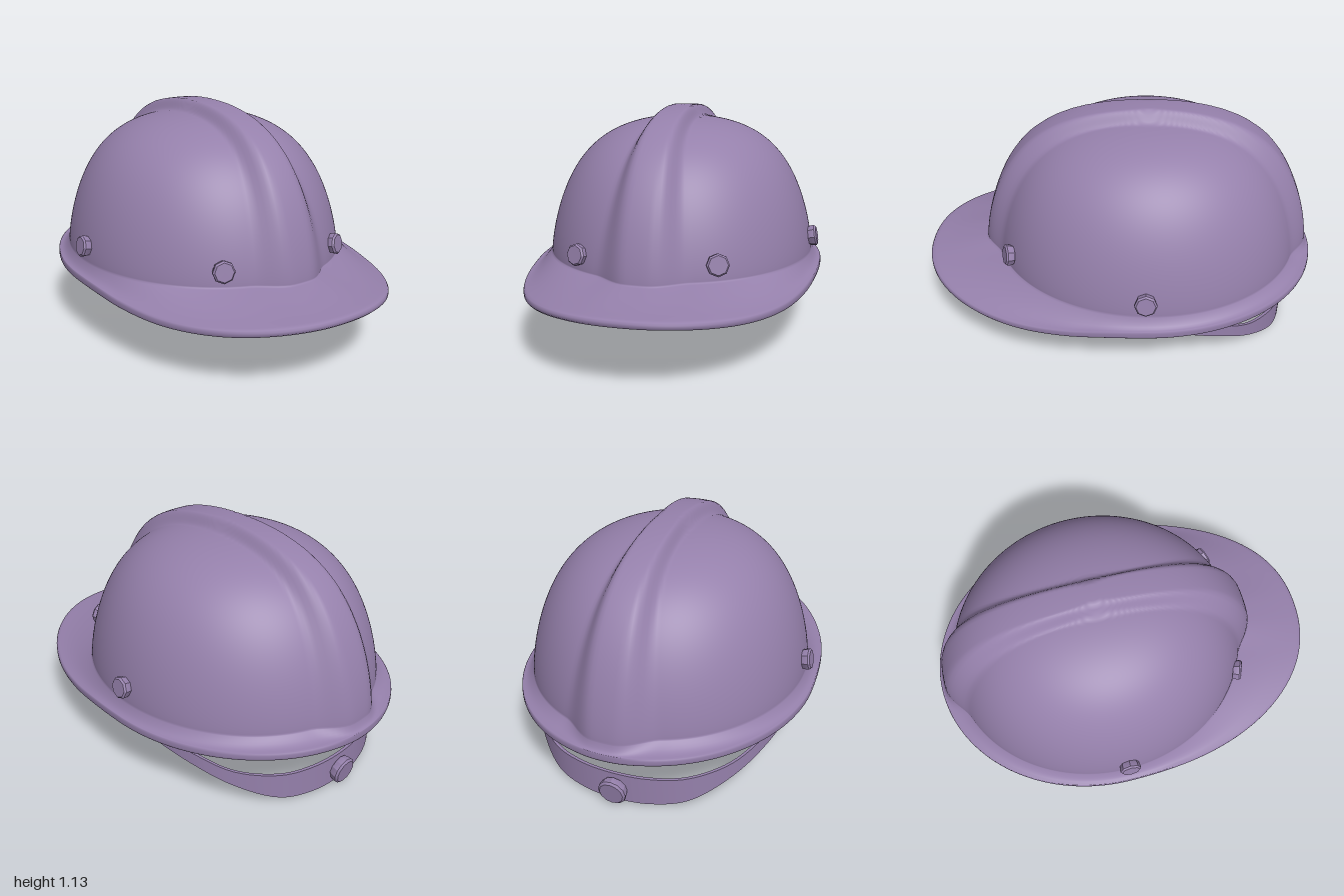
import * as THREE from 'three';
import { toCreasedNormals } from 'three/addons/utils/BufferGeometryUtils.js';

const CZ = -0.14, FOOT = 0.4;
const material = new THREE.MeshStandardMaterial({ color: 0x9580ab, side: THREE.DoubleSide });
const { lerp, smoothstep } = THREE.MathUtils;

// Surface through rows of points, each row closing on itself
function loft(rows) {
  const n = rows[0].length, index = [];
  for (let i = 0; i < rows.length - 1; i++) {
    for (let j = 0; j < n; j++) {
      const k = (j + 1) % n, a = i * n + j, b = a + n, c = (i + 1) * n + k, d = i * n + k;
      index.push(a, b, d, b, c, d);
    }
  }
  const g = new THREE.BufferGeometry();
  g.setAttribute('position', new THREE.Float32BufferAttribute(rows.flat(2), 3));
  g.setIndex(index);
  g.computeVertexNormals();
  return g;
}

// Dome point: flattened crown, plus a raised centre ridge that widens and softens to the foot
function domePoint(theta, phi, scale, ridgeHeight) {
  const r = Math.sin(phi), c = Math.max(0, Math.cos(phi));
  const h = Math.pow(c, 1.3 - 0.7 * c);
  const x = 0.685 * r * Math.sin(theta);
  const w = 0.1 + 0.13 * Math.pow(1 - h, 0.8);
  const ridge = 1 - smoothstep(Math.abs(x), w * lerp(0.2, 0.5, h), w);
  const s = scale * (1 + ridgeHeight * ridge);
  return [x * s, FOOT + 0.683 * h * s, CZ + 0.77 * r * Math.cos(theta) * s];
}
const outer = (theta, phi) => domePoint(theta, phi, 1, 0.082);
const inner = (theta, phi) => domePoint(theta, phi, 0.968, 0);

// Height of the brim edge along z, as a smooth curve
const edgeTable = new THREE.SplineCurve([
  [-1, 0.345], [-0.5, 0.336], [0, 0.328], [0.25, 0.31], [0.5, 0.298], [0.75, 0.307], [1, 0.335],
].map(([z, y]) => new THREE.Vector2(z, y))).getPoints(120);
function edgeHeight(z) {
  const i = Math.max(1, edgeTable.findIndex((p) => p.x >= z));
  const a = edgeTable[i - 1], b = edgeTable[i];
  return lerp(a.y, b.y, (z - a.x) / (b.x - a.x));
}

// Brim outline: rounded at the back, a fuller peak at the front
function edgePoint(theta) {
  const s = Math.sin(theta), c = Math.cos(theta);
  const e = c > 0 ? 2 / 2.2 : 1;
  const x = 0.735 * Math.sign(s) * Math.pow(Math.abs(s), e);
  const z = CZ + (c > 0 ? 1.135 : 0.86) * Math.sign(c) * Math.pow(Math.abs(c), e);
  return [x, edgeHeight(z), z];
}

// Outer dome, brim top, rolled edge, underside and inner dome in one skin
function shellGeometry() {
  const SEG = 192, RINGS = 60, rows = [];
  const ring = (fn) => {
    const row = [];
    for (let j = 0; j < SEG; j++) row.push(fn((j / SEG) * Math.PI * 2));
    rows.push(row);
  };
  const brim = (f, heightOf) => ring((t) => {
    const foot = outer(t, Math.PI / 2), edge = edgePoint(t);
    return [lerp(foot[0], edge[0], f), heightOf(edge[1], t), lerp(foot[2], edge[2], f)];
  });
  for (let i = 0; i <= RINGS; i++) ring((t) => outer(t, (i / RINGS) * Math.PI / 2));
  // The brim falls evenly at the peak and sweeps out in a cove at the sides and back
  for (const f of [0.04, 0.1, 0.2, 0.35, 0.5, 0.65, 0.8, 0.92]) {
    brim(f, (y, t) => {
      const power = lerp(2.3, 1.4, smoothstep(Math.cos(t), 0, 0.9));
      return y + 0.016 + (FOOT - y - 0.016) * Math.pow(1 - f, power);
    });
  }
  const lip = [[0.98, 0.014], [1, 0.005], [1, -0.009], [0.97, -0.018], [0.9, -0.022], [0.5, -0.022], [0.08, -0.022]];
  for (const [f, dy] of lip) brim(f, (y) => y + dy);
  ring((t) => {
    const p = inner(t, Math.PI / 2);
    return [p[0], edgePoint(t)[1] - 0.02, p[2]];
  });
  for (let i = RINGS; i >= 0; i--) ring((t) => inner(t, (i / RINGS) * Math.PI / 2));
  return loft(rows);
}

// Thin nape band that widens as it drops towards the back
function strapGeometry() {
  // x, z, top, bottom
  const half = [
    [0.655, -0.08, 0.345, 0.315], [0.66, -0.3, 0.32, 0.272], [0.6, -0.5, 0.265, 0.203],
    [0.49, -0.66, 0.19, 0.112], [0.33, -0.8, 0.163, 0.035], [0.17, -0.86, 0.158, 0.015],
  ];
  const all = [...half, [0, -0.877, 0.157, 0.01],
    ...half.slice().reverse().map(([x, z, a, b]) => [-x, z, a, b])];
  const rail = (k) => new THREE.CatmullRomCurve3(
    all.map((p) => new THREE.Vector3(p[0], p[k], p[1]))).getPoints(72);
  const top = rail(2), bottom = rail(3);
  const inset = (p) => [p.x * 0.98, p.y, CZ + (p.z - CZ) * 0.98];
  const rows = top.map((t, i) => [t.toArray(), inset(t), inset(bottom[i]), bottom[i].toArray()]);
  return toCreasedNormals(loft(rows), 0.7);
}

// Chamfered round stud, its axis along +z
function studGeometry(radius, depth, sides) {
  const profile = [[0, -depth / 2], [radius * 0.9, -depth / 2], [radius, 0],
    [radius, depth * 0.3], [radius * 0.85, depth / 2], [0, depth / 2]];
  const g = new THREE.LatheGeometry(profile.map(([x, y]) => new THREE.Vector2(x, y)), sides);
  g.rotateX(Math.PI / 2);
  return toCreasedNormals(g, 0.5);
}

export function createModel() {
  const model = new THREE.Group();
  model.name = 'hardHat';
  const add = (name, geometry) => {
    const mesh = new THREE.Mesh(geometry, material);
    mesh.name = name;
    model.add(mesh);
    return mesh;
  };
  add('shell', shellGeometry());
  add('napeStrap', strapGeometry());

  // Four studs around the dome
  const stud = studGeometry(0.053, 0.042, 8);
  for (const side of [1, -1]) {
    const front = add('frontStud', stud);
    front.position.set(side * 0.335, 0.48, 0.539);
    front.rotation.set(-0.16, side * 0.36, 0, 'YXZ');
    const lateral = add('sideStud', stud);
    lateral.position.set(side * 0.694, 0.48, -0.13);
    lateral.rotation.set(-0.18, side * Math.PI / 2, 0, 'YXZ');
  }

  // Adjuster knob at the back of the strap
  const knob = add('adjusterKnob', studGeometry(0.068, 0.045, 12));
  knob.position.set(0, 0.074, -0.897);
  knob.rotation.set(0.14, Math.PI, 0, 'YXZ');
  return model;
}
